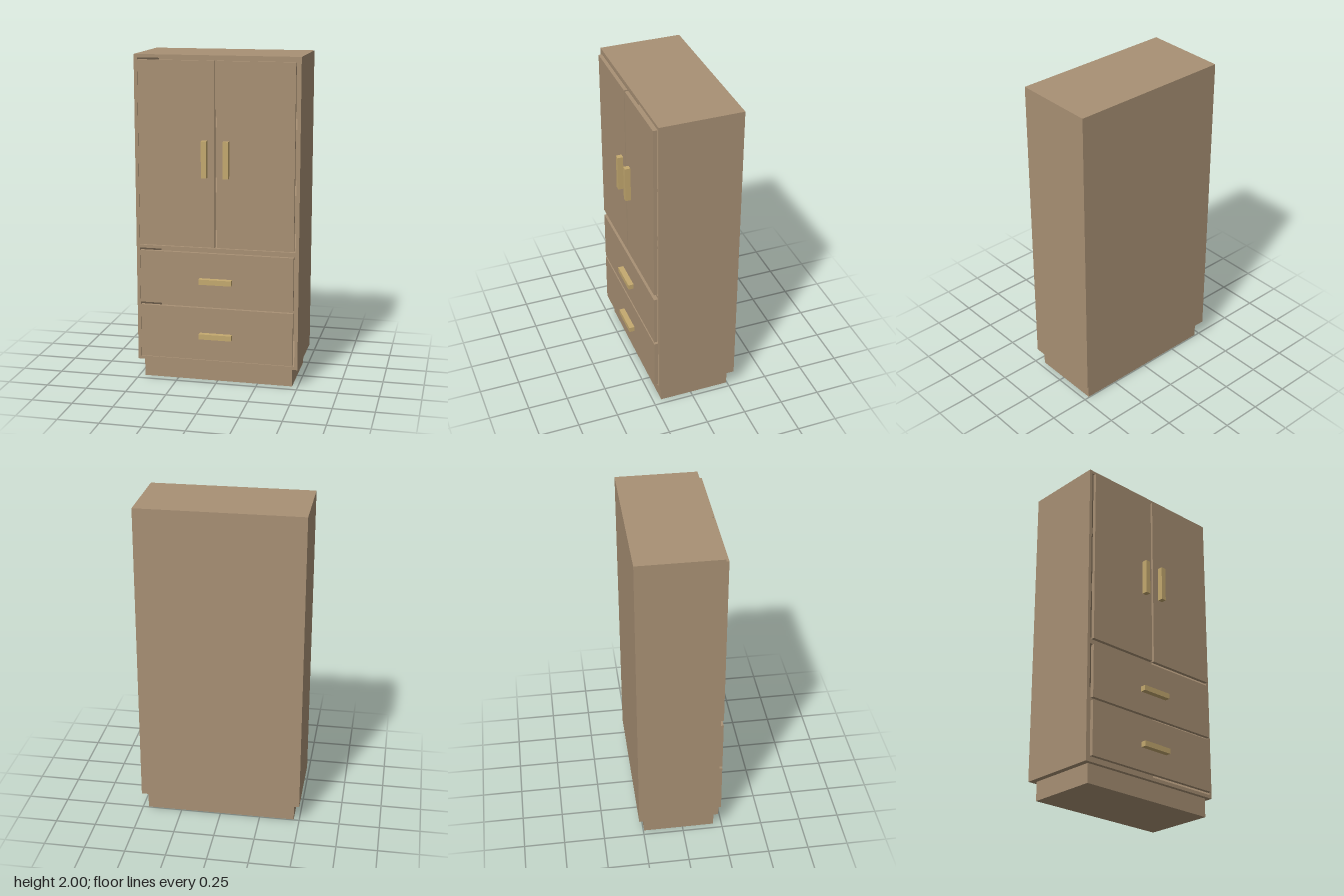
import * as THREE from 'three';

export function createModel() {
  const group = new THREE.Group();
  const wood = new THREE.MeshStandardMaterial({ color: 0xa89074 });
  wood.name = 'wood';
  const brass = new THREE.MeshStandardMaterial({ color: 0xc4a96f });
  brass.name = 'brass';

  // Box given by its minimum and maximum on each axis
  function box(name, material, [x0, x1], [y0, y1], [z0, z1]) {
    const mesh = new THREE.Mesh(new THREE.BoxGeometry(x1 - x0, y1 - y0, z1 - z0), material);
    mesh.position.set((x0 + x1) / 2, (y0 + y1) / 2, (z0 + z1) / 2);
    mesh.name = name;
    group.add(mesh);
  }

  const back = -0.278, front = 0.222, face = 0.244, grip = 0.278;
  const bottom = 0.115, top = 2, inner = 0.48;
  const depth = [back, front];
  const insideDepth = [back + 0.02, front];
  const inside = [-inner, inner];

  // Recessed plinth
  box('plinth', wood, [-0.465, 0.465], [0, bottom], [-0.245, 0.198]);

  // Hollow carcass
  box('leftSide', wood, [inner, 0.5], [bottom, top], depth);
  box('rightSide', wood, [-0.5, -inner], [bottom, top], depth);
  box('topPanel', wood, inside, [1.98, top], depth);
  box('bottomPanel', wood, inside, [bottom, 0.135], depth);
  box('backPanel', wood, inside, [0.135, 1.98], [back, back + 0.02]);
  box('divider', wood, inside, [0.828, 0.846], insideDepth);

  // Shelves behind the doors
  for (const y of [1.18, 1.57]) {
    box('shelf', wood, inside, [y - 0.009, y + 0.009], [back + 0.02, front - 0.01]);
  }

  // Pair of doors with upright handles
  for (const s of [-1, 1]) {
    const side = s > 0 ? 'left' : 'right';
    const span = (a, b) => (s > 0 ? [a, b] : [-b, -a]);
    box(side + 'Door', wood, span(0.007, 0.472), [0.856, 1.97], [front, face]);
    box(side + 'DoorHandle', brass, span(0.05, 0.082), [1.282, 1.503], [face, grip]);
  }

  // Two drawers with level handles
  [['lower', 0.146, 0.475, 0.302], ['upper', 0.492, 0.818, 0.647]].forEach(([name, y0, y1, h]) => {
    box(name + 'DrawerFront', wood, [-0.472, 0.472], [y0, y1], [front, face]);
    box(name + 'DrawerHandle', brass, [-0.1, 0.1], [h - 0.016, h + 0.016], [face, grip]);
  });

  return group;
}
